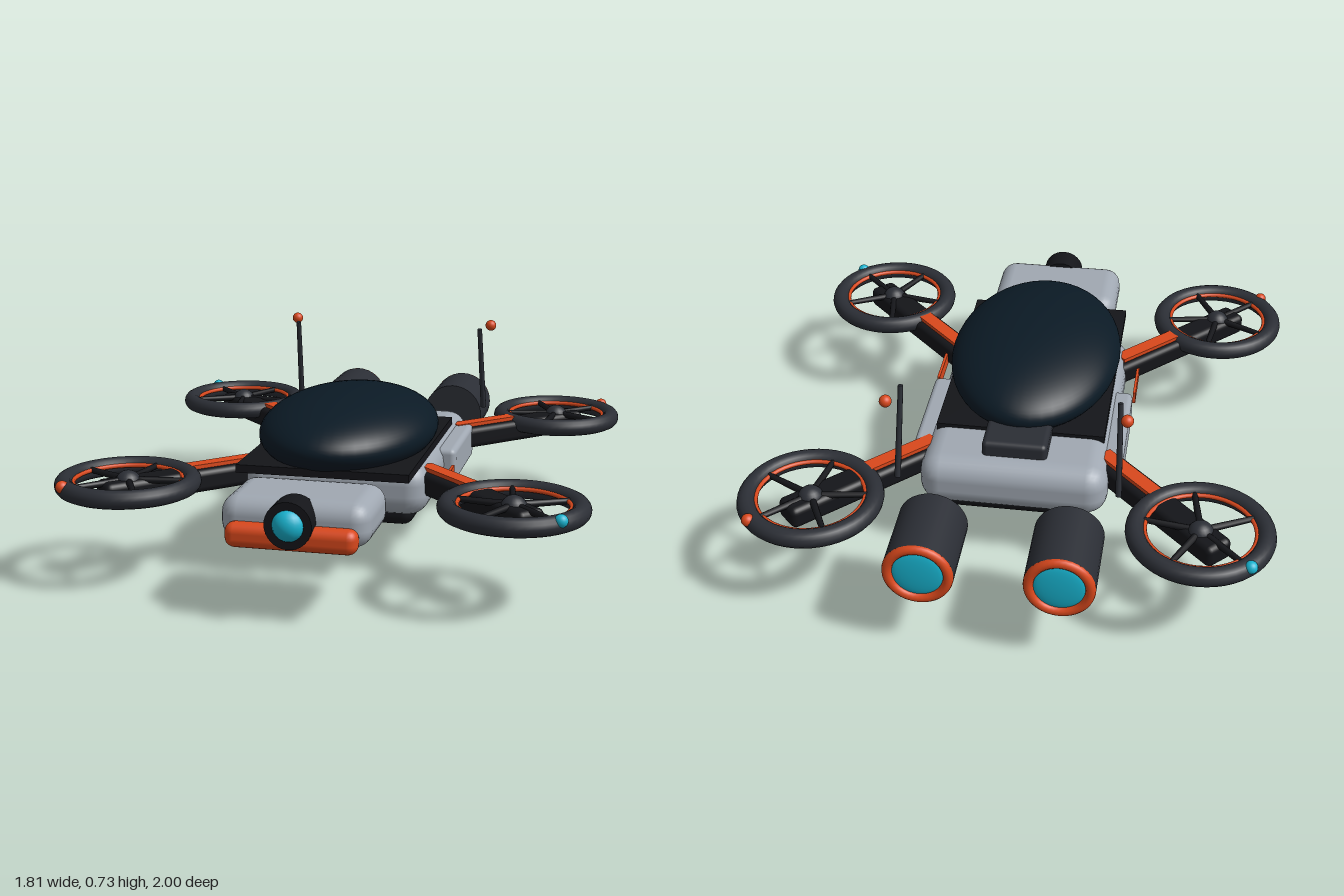
import * as THREE from 'three';
import { RoundedBoxGeometry } from 'three/addons/geometries/RoundedBoxGeometry.js';

const mat = (color) => new THREE.MeshStandardMaterial({ color });

export function createModel() {
  const root = new THREE.Group();
  const grey = mat(0xa0a8b2), dark = mat(0x2b2e35), black = mat(0x141519);
  const glass = mat(0x0b1a25), orange = mat(0xd9481c), cyan = mat(0x18b4d0);

  const add = (parent, name, geometry, material, x = 0, y = 0, z = 0) => {
    const mesh = new THREE.Mesh(geometry, material);
    mesh.name = name;
    mesh.position.set(x, y, z);
    parent.add(mesh);
    return mesh;
  };
  const rbox = (w, h, d, r, seg = 3) => new RoundedBoxGeometry(w, h, d, seg, r);
  const ball = (r) => new THREE.SphereGeometry(r, 20, 14);
  // Cylinder lying along z
  const barrel = (r, length) => new THREE.CylinderGeometry(r, r, length, 32).rotateX(Math.PI / 2);
  // Thin rod between two points
  const rod = (parent, name, a, b, r0, r1, material) => {
    const dir = b.clone().sub(a);
    const mesh = add(parent, name, new THREE.CylinderGeometry(r1, r0, dir.length(), 10), material);
    mesh.position.copy(a).add(b).multiplyScalar(0.5);
    mesh.quaternion.setFromUnitVectors(new THREE.Vector3(0, 1, 0), dir.normalize());
    return mesh;
  };

  // Hull, deck and canopy
  add(root, 'hull', rbox(0.655, 0.188, 0.915, 0.075), grey, 0, 0.298, -0.057);
  add(root, 'deckPlate', new THREE.BoxGeometry(0.595, 0.028, 0.845), black, 0, 0.391, 0.13);
  const canopy = add(root, 'canopy',
    new THREE.SphereGeometry(1, 48, 28, 0, Math.PI * 2, 0, 2.16), glass, 0, 0.458, 0.133);
  canopy.scale.set(0.31, 0.136, 0.465);
  add(root, 'rearHatch', rbox(0.226, 0.07, 0.2, 0.018), dark, 0, 0.41, -0.337);

  // Belly and sensor turret
  add(root, 'bellyPan', rbox(0.51, 0.13, 0.7, 0.04), black, 0, 0.2, -0.08);
  add(root, 'turretBase', new THREE.CylinderGeometry(0.145, 0.145, 0.06, 32), black, 0, 0.118, -0.125);
  add(root, 'turretBall', ball(0.09), dark, 0, 0.09, -0.125);

  // Nose unit with bumper and camera
  add(root, 'noseShell', rbox(0.49, 0.15, 0.305, 0.06), grey, 0, 0.324, 0.762);
  add(root, 'noseBumper', rbox(0.43, 0.082, 0.07, 0.032), orange, 0, 0.286, 0.925);
  add(root, 'cameraHousing', barrel(0.077, 0.1), black, 0, 0.336, 0.917);
  add(root, 'cameraLens', ball(0.053), cyan, 0, 0.336, 0.955).scale.z = 0.84;

  // Parts mirrored on both sides
  for (const s of [1, -1]) {
    add(root, 'sidePanel', rbox(0.075, 0.128, 0.42, 0.02), grey, s * 0.332, 0.303, -0.158);
    add(root, 'sideStripe', new THREE.BoxGeometry(0.01, 0.046, 0.18), orange, s * 0.371, 0.303, 0.194);

    // Rear thruster
    const thruster = new THREE.Group();
    thruster.name = 'thruster';
    thruster.position.set(s * 0.228, 0.317, 0);
    root.add(thruster);
    add(thruster, 'thrusterBody', barrel(0.117, 0.262), dark, 0, 0, -0.851);
    add(thruster, 'thrusterRim', new THREE.TorusGeometry(0.1, 0.017, 12, 36), orange, 0, 0, -0.982);
    add(thruster, 'thrusterGlow', ball(0.086), cyan, 0, 0, -0.982).scale.z = 0.14;

    // Antenna with separate tip
    rod(root, 'antennaMast', new THREE.Vector3(s * 0.375, 0.385, -0.585),
      new THREE.Vector3(s * 0.365, 0.71, -0.51), 0.011, 0.009, dark);
    add(root, 'antennaTip', ball(0.021), orange, s * 0.395, 0.71, -0.606);
  }

  // Four rotor arms; local +x points outward along the diagonal
  for (const sx of [1, -1]) for (const sz of [1, -1]) {
    const rotor = new THREE.Group();
    rotor.name = 'rotorArm';
    rotor.position.set(sx * 0.655, 0.342, sz > 0 ? 0.627 : -0.683);
    rotor.rotation.y = Math.atan2(-sz, sx);
    root.add(rotor);

    add(rotor, 'arm', rbox(0.65, 0.08, 0.105, 0.022), black, -0.225, -0.026, 0);
    add(rotor, 'armStripe', new THREE.BoxGeometry(0.29, 0.02, 0.052), orange, -0.355, 0.018, 0);
    add(rotor, 'rotorGuard', new THREE.TorusGeometry(0.216, 0.032, 14, 48).rotateX(Math.PI / 2), dark);
    add(rotor, 'guardTrim', new THREE.TorusGeometry(0.184, 0.008, 8, 48).rotateX(Math.PI / 2), orange, 0, 0.008, 0);
    add(rotor, 'rotorHub', ball(0.045), dark, 0, -0.004, 0);
    for (let i = 0; i < 5; i++) {
      const a = (i * Math.PI * 2) / 5;
      rod(rotor, 'spoke', new THREE.Vector3(0, 0.008, 0),
        new THREE.Vector3(Math.cos(a) * 0.2, 0.008, Math.sin(a) * 0.2), 0.013, 0.01, black);
    }
    add(rotor, 'navigationLight', ball(0.022), sx * sz > 0 ? cyan : orange, 0.236, 0.017, 0);
  }
  return root;
}
